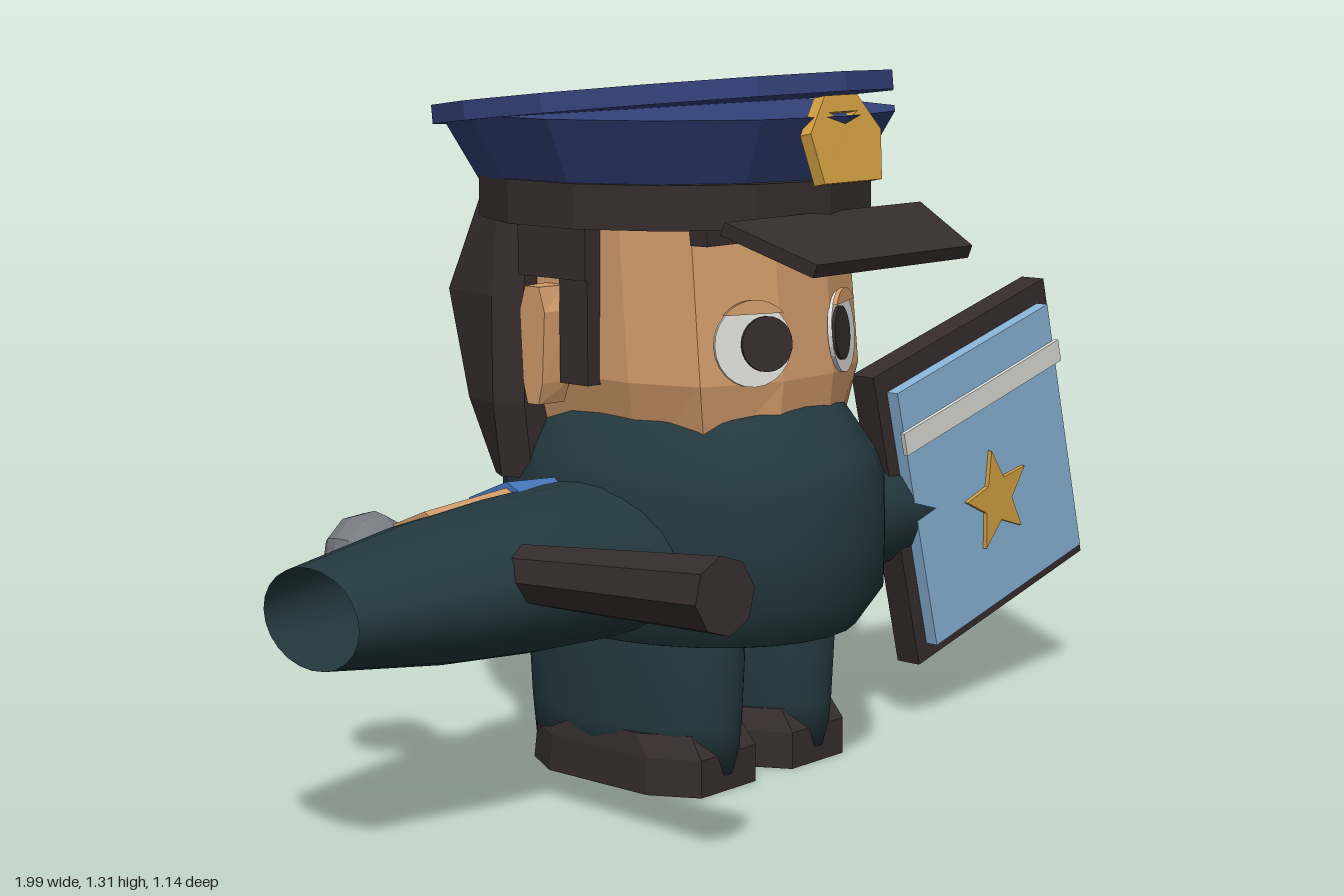
import * as THREE from 'three';

const mat = (name, color, side = THREE.FrontSide, flatShading = true) => {
  const m = new THREE.MeshStandardMaterial({ color, side, flatShading });
  m.name = name;
  return m;
};

// Solid skinned over rings of [x, y, z]; rings go up, each starting at the front and turning towards +x.
function loft(rings) {
  const n = rings[0].length, pos = [];
  const tri = (...p) => p.forEach((v) => pos.push(...v));
  for (let i = 0; i < rings.length - 1; i++) {
    for (let j = 0; j < n; j++) {
      const k = (j + 1) % n, a = rings[i], b = rings[i + 1];
      tri(a[j], a[k], b[k]);
      tri(a[j], b[k], b[j]);
    }
  }
  const top = rings[rings.length - 1], low = rings[0];
  for (let j = 1; j < n - 1; j++) {
    tri(top[0], top[j], top[j + 1]);
    tri(low[0], low[j + 1], low[j]);
  }
  const g = new THREE.BufferGeometry();
  g.setAttribute('position', new THREE.Float32BufferAttribute(pos, 3));
  g.computeVertexNormals();
  return g;
}

const lathe = (pts, seg) => new THREE.LatheGeometry(pts.map((p) => new THREE.Vector2(...p)), seg);
const plate = (pts, depth) => new THREE.ExtrudeGeometry(
  new THREE.Shape(pts.map((p) => new THREE.Vector2(...p))), { depth, bevelEnabled: false });

export function createModel() {
  const model = new THREE.Group();
  const body = new THREE.Group();
  body.name = 'figure';
  body.position.x = -0.05;
  model.add(body);

  const cloth = mat('dark teal cloth', 0x23393f, THREE.DoubleSide, false);
  const navy = mat('navy', 0x33427a);
  const brown = mat('dark brown', 0x362c2d);
  const skin = mat('skin', 0xd09a69);
  const blue = mat('shirt blue', 0x4576bc);
  const panelBlue = mat('shield blue', 0x88b4d8);
  const gold = mat('gold', 0xd2a042);
  const white = mat('white', 0xdcdcd8);
  const grey = mat('grey', 0x757a80);

  const add = (name, geo, material, x = 0, y = 0, z = 0, parent = body) => {
    const m = new THREE.Mesh(geo, material);
    m.name = name;
    m.position.set(x, y, z);
    parent.add(m);
    return m;
  };
  const box = (x, y, z) => new THREE.BoxGeometry(x, y, z);

  // Torso and pelvis
  const torso = add('torso', lathe([[0, 0.283], [0.33, 0.283], [0.335, 0.285], [0.39, 0.36], [0.392, 0.46],
    [0.39, 0.56], [0.37, 0.61], [0.31, 0.69], [0.27, 0.71], [0, 0.712]], 28), cloth, 0, 0, -0.065);
  torso.scale.x = 0.82;
  add('pelvis', box(0.2, 0.12, 0.3), navy, 0, 0.32, -0.09);

  // Head: faceted block, widest at the temples
  const headRing = (y, w, zf) => {
    const half = [[0.07, zf], [w * 0.84, zf - 0.065], [w, zf - 0.2], [w, -0.25], [w * 0.6, -0.38]];
    return [...half, ...half.map(([x, z]) => [-x, z]).reverse()].map(([x, z]) => [x, y, z]);
  };
  add('head', loft([headRing(0.6, 0.22, 0.2), headRing(0.76, 0.265, 0.221), headRing(1.07, 0.26, 0.193)]), skin);

  // Long hair at the back
  const hairRing = (y, w, zb) => {
    const half = [[w * 0.93, -0.21], [w, -0.27], [w * 0.92, zb + 0.08], [w * 0.5, zb]];
    return [...half, ...half.map(([x, z]) => [-x, z]).reverse()].map(([x, z]) => [x, y, z]);
  };
  add('backHair', loft([hairRing(0.56, 0.3, -0.39), hairRing(0.7, 0.32, -0.44),
    hairRing(0.9, 0.32, -0.49), hairRing(1.08, 0.3, -0.42)]), brown);
  add('fringe', box(0.44, 0.07, 0.2), brown, 0, 1.045, 0.07);

  for (const s of [1, -1]) {
    const side = s > 0 ? 'left' : 'right';

    // Hair around the ear, and the ear
    add(side + 'TempleHair', box(0.08, 0.12, 0.17), brown, s * 0.26, 1.0, -0.135);
    add(side + 'Sideburn', box(0.07, 0.3, 0.07), brown, s * 0.26, 0.9, -0.085);
    const ear = add(side + 'Ear', loft([[0.71, 0.02], [0.75, 0.035], [0.88, 0.045], [0.925, 0.025]].map(([y, d]) =>
      [[-0.03, y, d], [0.03, y, d * 0.7], [0.03, y, -d * 0.7], [-0.03, y, -d]])), skin, s * 0.295, 0, -0.16);
    if (s < 0) ear.rotation.y = Math.PI;

    // Eye on the angled cheek
    const eye = new THREE.Group();
    eye.name = side + 'Eye';
    eye.position.set(s * 0.125, 0.83, 0.194);
    eye.rotation.set(-0.09, s * 0.41, 0, 'YXZ');
    body.add(eye);
    const disc = (r) => new THREE.CylinderGeometry(r, r, 0.008, 24).rotateX(Math.PI / 2);
    add('eyeWhite', disc(0.076), white, 0, 0, 0, eye);
    add('pupil', disc(0.05), brown, -s * 0.025, 0, 0.006, eye);
    const lid = new THREE.Shape();
    lid.absarc(0, 0, 0.08, 0.75, Math.PI - 0.75, false);
    add('eyelid', new THREE.ExtrudeGeometry(lid, { depth: 0.009, bevelEnabled: false }), skin, 0, 0, 0.004, eye);

    // Wide open sleeve
    const sleeve = add(side + 'Sleeve', lathe([[0.195, 0.2], [0.198, 0.35], [0.19, 0.5], [0.168, 0.7], [0.12, 0.95]], 24),
      cloth, 0, 0.435, -0.055);
    sleeve.rotation.z = -s * Math.PI / 2;
    sleeve.scale.x = 0.72;

    // Arm and hand inside the sleeve
    const limb = (name, r0, r1, from, to, m) => {
      const a = add(side + name, new THREE.CylinderGeometry(r1, r0, to - from, 8), m,
        s * (from + to) / 2, 0.45, -0.125);
      a.rotation.z = -s * Math.PI / 2;
    };
    limb('UpperArm', 0.12, 0.135, 0.2, 0.43, blue);
    limb('Forearm', 0.125, 0.11, 0.42, 0.63, skin);
    add(side + 'Hand', new THREE.SphereGeometry(0.085, 8, 6), skin, s * 0.66, 0.45, -0.085);
    add(side + 'Thumb', box(0.09, 0.08, 0.1), skin, s * 0.62, 0.455, 0.01);

    // Trouser leg and shoe
    const leg = add(side + 'Leg', lathe([[0, 0.03], [0.235, 0.03], [0.245, 0.12], [0.252, 0.24], [0.245, 0.34]], 24),
      cloth, s * 0.13, 0, -0.092);
    leg.scale.x = 0.5;
    const shoeRing = (y, w, zf, zb) => [[-w * 0.6, y, zf], [w * 0.6, y, zf], [w, y, zf - 0.09], [w, y, zb + 0.09],
      [w * 0.6, y, zb], [-w * 0.6, y, zb], [-w, y, zb + 0.09], [-w, y, zf - 0.09]];
    add(side + 'Shoe', loft([shoeRing(0, 0.125, 0.14, -0.29), shoeRing(0.07, 0.125, 0.14, -0.28),
      shoeRing(0.11, 0.118, 0.11, -0.24)]), brown, s * 0.128);
  }

  // Peaked cap
  add('capBand', new THREE.CylinderGeometry(0.37, 0.37, 0.08, 14), brown, 0, 1.08, -0.1);
  add('capCrown', new THREE.CylinderGeometry(0.43, 0.355, 0.13, 14), navy, 0, 1.17, -0.12);
  const capTop = add('capTop', new THREE.CylinderGeometry(0.435, 0.435, 0.035, 14), navy, 0, 1.253, -0.13);
  capTop.rotation.x = -0.1;
  const visor = add('visor', plate([[-0.275, 0], [0.275, 0], [0.22, -0.175], [-0.22, -0.175]], 0.025),
    brown, 0, 1.04, 0.25);
  visor.rotation.x = -Math.PI / 2 + 0.39;

  // Cap badge with a notch
  const badgeShape = new THREE.Shape([[-0.08, 0], [0.08, 0], [0.098, 0.09], [0.045, 0.155], [-0.045, 0.155],
    [-0.098, 0.09]].map((p) => new THREE.Vector2(...p)));
  badgeShape.holes.push(new THREE.Path([[-0.04, 0.125], [0, 0.108], [0.04, 0.125]].map((p) => new THREE.Vector2(...p))));
  const badge = add('capBadge', new THREE.ExtrudeGeometry(badgeShape, { depth: 0.025, bevelEnabled: false }),
    gold, 0, 1.115, 0.298);
  badge.rotation.x = -0.2;

  // Baton, built along its own axis and aimed forward
  const baton = new THREE.Group();
  baton.name = 'baton';
  const tail = new THREE.Vector3(-0.55, 0.435, -0.36), tip = new THREE.Vector3(-0.625, 0.512, 0.57);
  baton.position.copy(tail);
  baton.quaternion.setFromUnitVectors(new THREE.Vector3(0, 1, 0), tip.clone().sub(tail).normalize());
  body.add(baton);
  const rod = (name, r0, r1, from, to, m) =>
    add(name, new THREE.CylinderGeometry(r1, r0, to - from, 8), m, 0, (from + to) / 2, 0, baton);
  add('pommel', new THREE.SphereGeometry(0.084, 10, 8), grey, 0, 0, 0, baton);
  rod('pommelCollar', 0.05, 0.075, 0.07, 0.13, brown);
  rod('grip', 0.045, 0.045, 0.12, 0.4, brown);
  rod('guard', 0.062, 0.062, 0.385, 0.425, grey);
  rod('shaft', 0.052, 0.066, 0.42, 0.936, brown);

  // Square shield with stripe and star
  const shield = new THREE.Group();
  shield.name = 'shield';
  shield.position.set(0.685, 0.486, 0);
  shield.rotation.z = 0.253;
  body.add(shield);
  add('shieldFrame', box(0.578, 0.615, 0.054), brown, 0, 0, 0.082, shield);
  add('shieldPanel', box(0.512, 0.54, 0.028), panelBlue, 0, -0.005, 0.121, shield);
  add('shieldStripe', box(0.53, 0.046, 0.009), white, 0, 0.162, 0.139, shield);
  const star = Array.from({ length: 10 }, (_, i) => {
    const r = i % 2 ? 0.046 : 0.105, a = Math.PI / 2 + i * Math.PI / 5;
    return [r * Math.cos(a), r * Math.sin(a)];
  });
  add('shieldStar', plate(star, 0.009), gold, -0.005, -0.06, 0.135, shield);

  return model;
}
